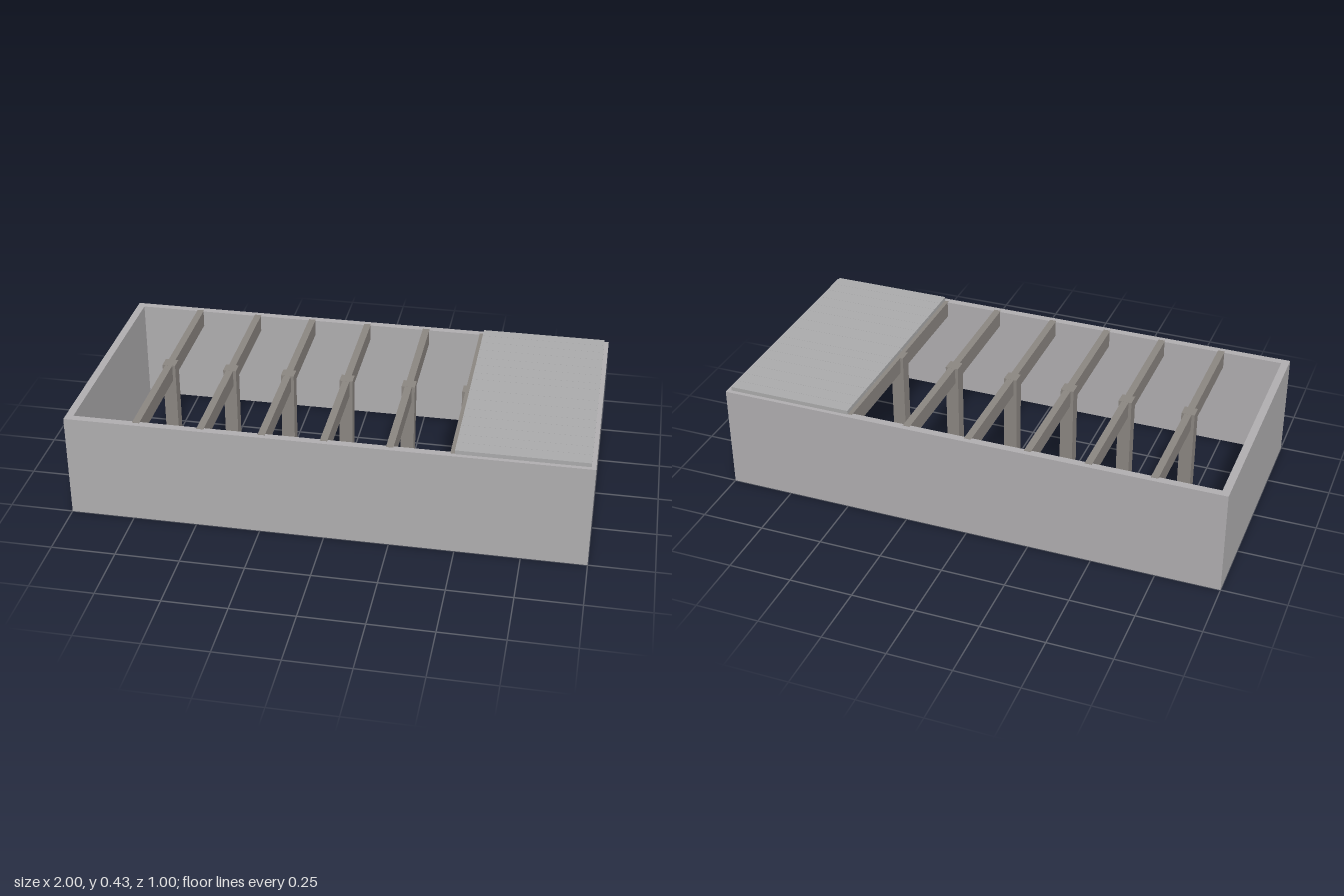
import * as THREE from 'three';

export function createModel() {
  const model = new THREE.Group();
  const mat = (name, color) => {
    const m = new THREE.MeshStandardMaterial({ color });
    m.name = name;
    return m;
  };
  const concrete = mat('concreteGrey', 0xb0aeb0);
  const timber = mat('joistGrey', 0x8b8681);
  const deckGrey = mat('deckGrey', 0xababac);

  const H = 0.418; // wall height

  // Box given by its limits on each axis
  const box = (name, material, [x0, x1], [y0, y1], [z0, z1], parent) => {
    const mesh = new THREE.Mesh(new THREE.BoxGeometry(x1 - x0, y1 - y0, z1 - z0), material);
    mesh.position.set((x0 + x1) / 2, (y0 + y1) / 2, (z0 + z1) / 2);
    mesh.name = name;
    parent.add(mesh);
  };

  // Rectangular ring of walls, open above and below
  const rect = (path, w, d) => path
    .moveTo(-w, -d).lineTo(w, -d).lineTo(w, d).lineTo(-w, d).closePath();
  const outline = rect(new THREE.Shape(), 1, 0.5);
  outline.holes.push(rect(new THREE.Path(), 0.97, 0.47));
  const wallGeometry = new THREE.ExtrudeGeometry(outline, { depth: H, bevelEnabled: false });
  wallGeometry.rotateX(-Math.PI / 2);
  const walls = new THREE.Mesh(wallGeometry, concrete);
  walls.name = 'perimeterWall';
  model.add(walls);

  // Cross joists let into the walls, each on a centre post
  const frame = new THREE.Group();
  frame.name = 'floorFrame';
  for (const x of [-0.723, -0.473, -0.238, -0.002, 0.246, 0.484, 0.722]) {
    box('joist', timber, [x - 0.014, x + 0.014], [H - 0.067, H + 0.0006], [-0.48, 0.48], frame);
    box('post', timber, [x - 0.026, x + 0.026], [0, H + 0.001], [-0.029, 0.021], frame);
  }
  model.add(frame);

  // Deck boards of uneven width over one end
  const deck = new THREE.Group();
  deck.name = 'deck';
  const joints = [-0.484, -0.433, -0.374, -0.309, -0.24, -0.179, -0.113, -0.061,
    0.026, 0.098, 0.174, 0.233, 0.3, 0.367, 0.425, 0.484];
  for (let i = 0; i < joints.length - 1; i++) {
    box('deckBoard', deckGrey, [0.487, 0.983], [H, H + 0.016],
      [joints[i] + 0.0004, joints[i + 1] - 0.0004], deck);
  }
  model.add(deck);

  return model;
}
